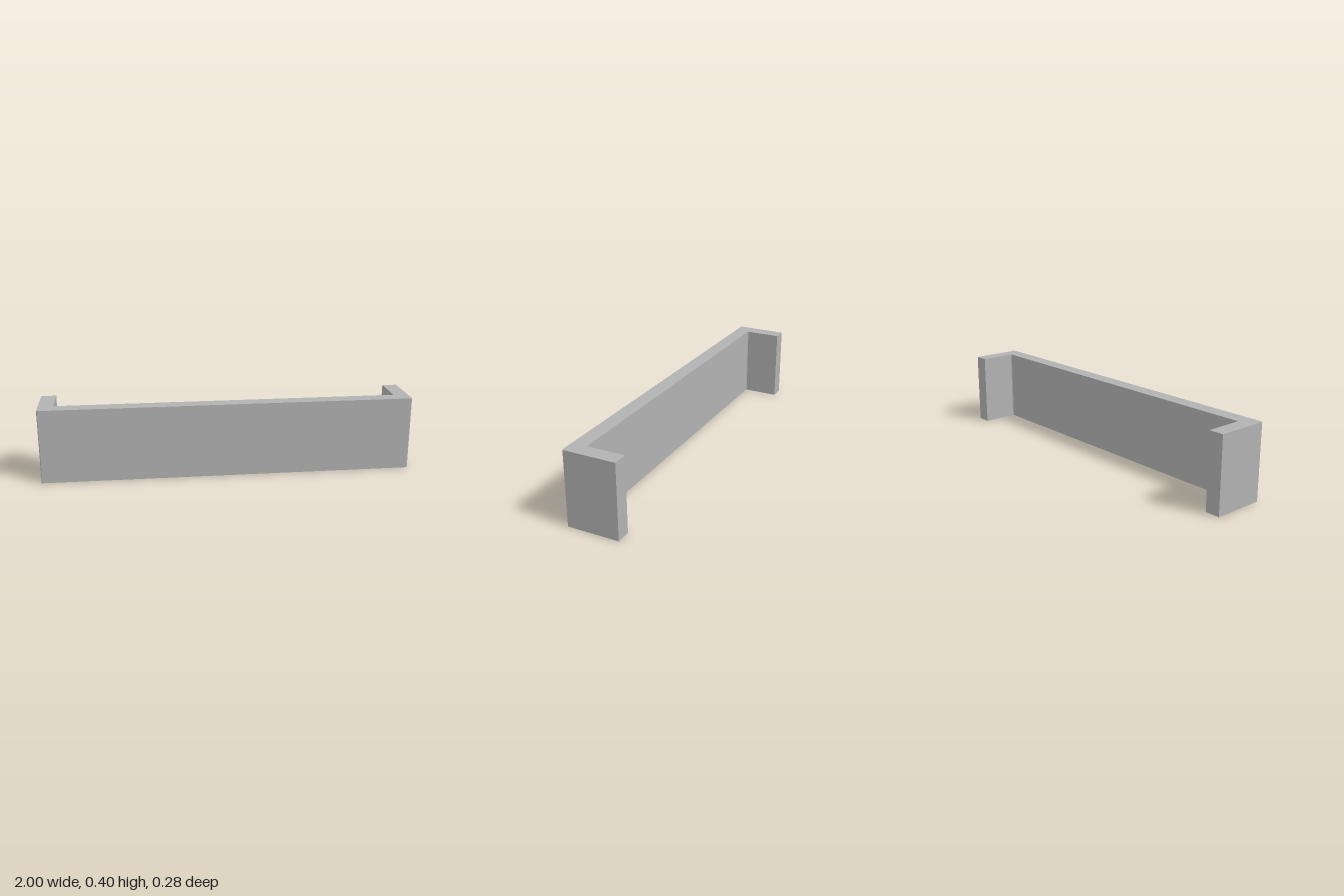
import * as THREE from 'three';

const HEIGHT = 0.4, HALF_DEPTH = 0.14, WALL = 0.08, CHAMFER = 0.004;

export function createModel() {
  const model = new THREE.Group();
  model.name = 'bracketPanel';
  const grey = new THREE.MeshStandardMaterial({ color: 0xb2b2b2 });
  grey.name = 'grey';

  // Right half of the U-shaped plan (x, -z), with tiny chamfers at the corner
  const inner = 1 - WALL, d = HALF_DEPTH, f = -d + WALL, c = CHAMFER;
  const half = [
    [1 - c, -d], [1, -d + c], [1, d], [inner, d], [inner, f + c], [inner - c, f],
  ];
  const outline = [...half, ...half.map(([x, y]) => [-x, y]).reverse()];
  const shape = new THREE.Shape(outline.map(([x, y]) => new THREE.Vector2(x, y)));

  // Extrude the plan upwards: long front panel with two return ends
  const geometry = new THREE.ExtrudeGeometry(shape, { depth: HEIGHT, bevelEnabled: false });
  geometry.rotateX(-Math.PI / 2);

  const panel = new THREE.Mesh(geometry, grey);
  panel.name = 'frontPanelWithReturns';
  model.add(panel);
  return model;
}
